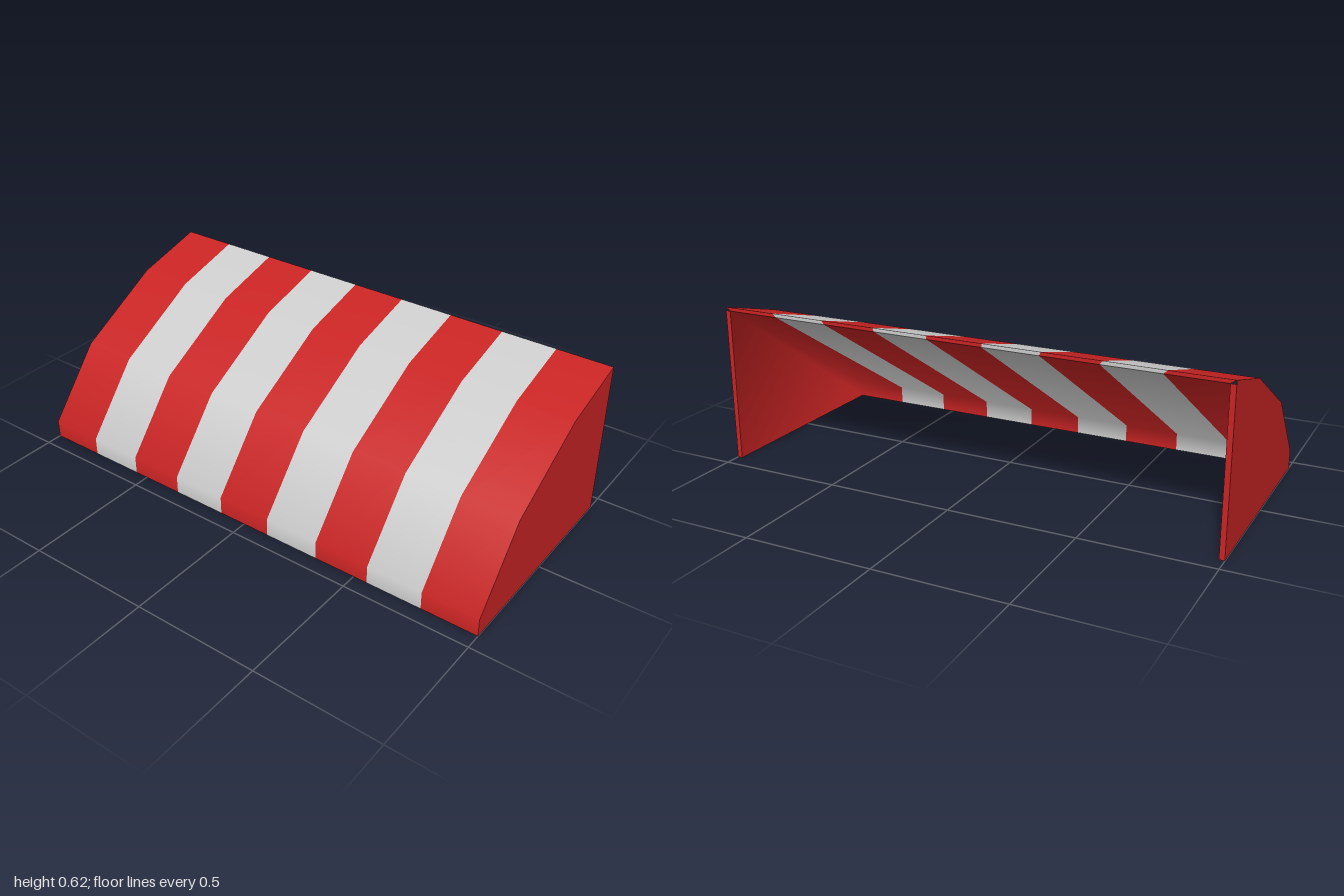
import * as THREE from 'three';

const red = new THREE.MeshStandardMaterial({ color: 0xc82323 });
red.name = 'awning red';
const white = new THREE.MeshStandardMaterial({ color: 0xcccccc });
white.name = 'awning white';

const STRIPES = 9, OUT = 1, IN = 0.98;

// Profiles as [x, y]; each runs so that its visible side is on the right-hand side of travel
const outer = [[0.437, 0.619], [0.147, 0.541], [-0.212, 0.342], [-0.437, 0.072], [-0.437, 0]];
const inner = [[-0.422, 0], [-0.422, 0.07], [0.437, 0.605]];
const lipRim = [outer[4], inner[0]];
const backRim = [inner[2], outer[0]];

// Smooth normals along a profile, averaged from the neighbouring segments
function profileNormals(pts) {
  const seg = pts.slice(1).map((p, i) =>
    new THREE.Vector3(p[1] - pts[i][1], pts[i][0] - p[0], 0).normalize());
  return pts.map((_, i) => {
    const n = new THREE.Vector3();
    if (i > 0) n.add(seg[i - 1]);
    if (i < seg.length) n.add(seg[i]);
    return n.normalize();
  });
}

function geometry(positions, normals, index) {
  const g = new THREE.BufferGeometry();
  g.setAttribute('position', new THREE.Float32BufferAttribute(positions, 3));
  g.setAttribute('normal', new THREE.Float32BufferAttribute(normals, 3));
  g.setIndex(index);
  return g;
}

// Sheet swept along z; zs gives the [low, high] z for each profile point,
// tilt leans the normals of either edge along z
function sheet(pts, zs, tilt = [0, 0]) {
  const pos = [], nor = [], idx = [];
  const normals = profileNormals(pts);
  pts.forEach(([x, y], i) => {
    for (let k = 0; k < 2; k++) {
      pos.push(x, y, zs[i][k]);
      const n = normals[i].clone();
      n.z += tilt[k];
      nor.push(...n.normalize().toArray());
    }
    if (i > 0) {
      const a = 2 * i - 2;
      idx.push(a, a + 2, a + 1, a + 1, a + 2, a + 3);
    }
  });
  return geometry(pos, nor, idx);
}

// Convex wall face at z, facing dir (+1 or -1)
function panel(pts, z, dir, normals) {
  const pos = [], nor = [], idx = [];
  pts.forEach(([x, y], i) => {
    pos.push(x, y, z);
    const n = new THREE.Vector3(0, 0, dir);
    if (normals && normals[i]) n.add(normals[i]).normalize();
    nor.push(...n.toArray());
    if (i > 1) idx.push(...(dir > 0 ? [0, i - 1, i] : [0, i, i - 1]));
  });
  return geometry(pos, nor, idx);
}

export function createModel() {
  const model = new THREE.Group();
  model.name = 'awning';
  const add = (parent, name, geo, mat) => {
    const m = new THREE.Mesh(geo, mat);
    m.name = name;
    parent.add(m);
  };

  // Striped canopy: outer cover, underside lining and the narrow rims joining them
  const canopy = new THREE.Group();
  canopy.name = 'canopy';
  model.add(canopy);
  for (let i = 0; i < STRIPES; i++) {
    const mat = i % 2 ? white : red;
    const at = (half) => [-half + 2 * half * i / STRIPES, -half + 2 * half * (i + 1) / STRIPES];
    const zo = at(OUT), zi = at(IN);
    const tilt = [i === 0 ? 1 : 0, i === STRIPES - 1 ? -1 : 0];
    add(canopy, 'coverStripe', sheet(outer, outer.map(() => zo)), mat);
    add(canopy, 'liningStripe', sheet(inner, inner.map(() => zi), tilt), mat);
    add(canopy, 'lipRim', sheet(lipRim, [zo, zi]), mat);
    add(canopy, 'backRim', sheet(backRim, [zi, zo]), mat);
  }

  // Side walls with their inner faces and edges
  const outline = [[0.437, 0], ...outer];
  const innerOutline = [inner[0], [0.437, 0], inner[2], inner[1]];
  const ln = profileNormals(inner);
  for (const s of [1, -1]) {
    const wall = new THREE.Group();
    wall.name = s > 0 ? 'frontWall' : 'backWall';
    model.add(wall);
    const z = s > 0 ? [IN, OUT] : [-OUT, -IN];
    add(wall, 'wallOutside', panel(outline, s * OUT, s), red);
    add(wall, 'wallInside', panel(innerOutline, s * IN, -s, [ln[0], null, ln[2], ln[1]]), red);
    add(wall, 'wallBottomEdge', sheet([inner[0], [0.437, 0]], [z, z]), red);
    add(wall, 'wallBackEdge', sheet([[0.437, 0], inner[2]], [z, z]), red);
  }
  return model;
}
